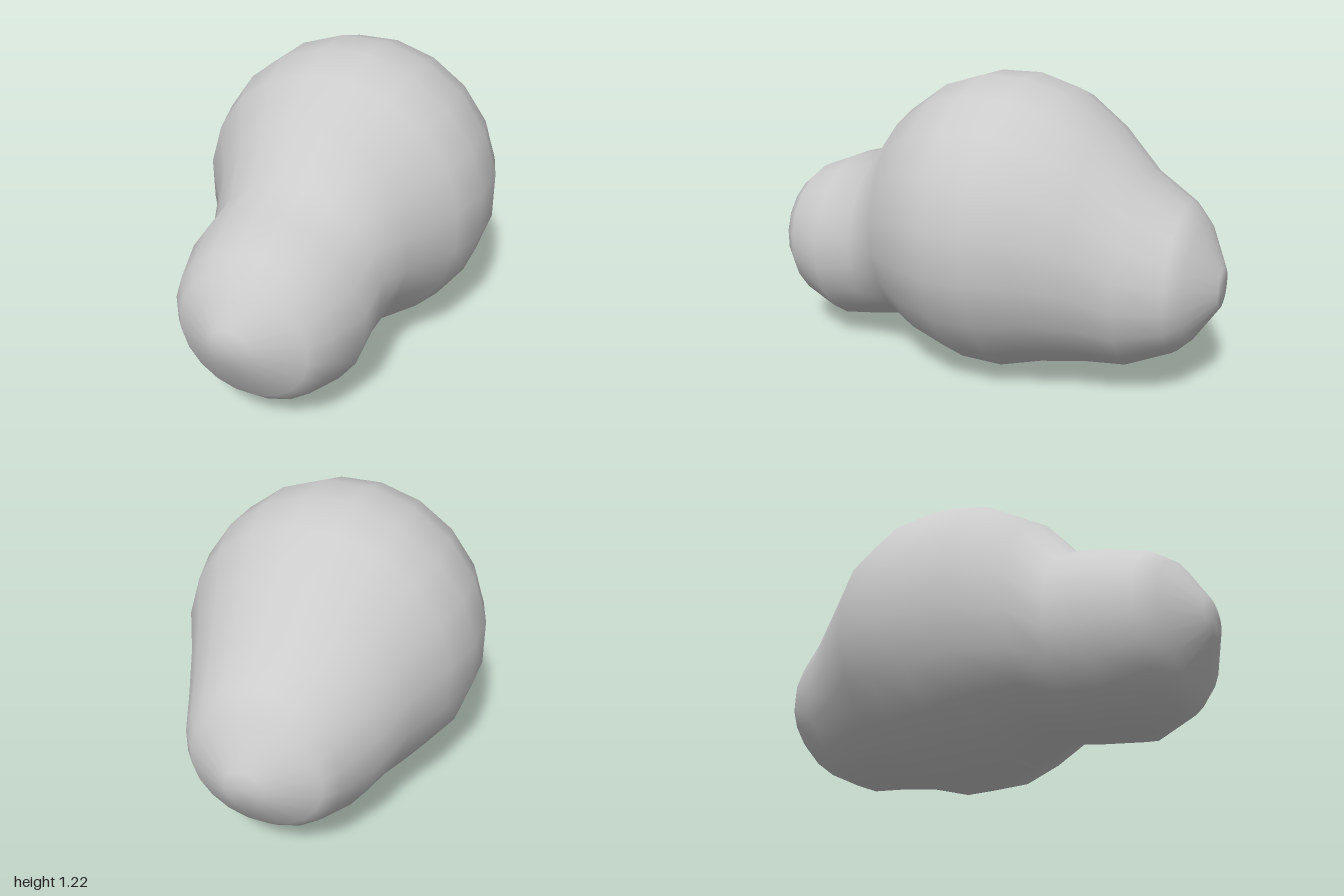
import * as THREE from 'three';

// Cross-sections from front to back: z, bottom, top, half width
const SECTIONS = [
  [1.0, 0.37, 0.53, 0.08],
  [0.91, 0.19, 0.69, 0.26],
  [0.84, 0.12, 0.745, 0.32],
  [0.67, 0.055, 0.81, 0.378],
  [0.5, 0.08, 0.855, 0.372],
  [0.35, 0.11, 1.05, 0.42],
  [0.17, 0.05, 1.17, 0.555],
  [0.0, 0.0, 1.22, 0.605],
  [-0.18, 0.0, 1.22, 0.605],
  [-0.35, 0.05, 1.17, 0.555],
  [-0.52, 0.075, 1.05, 0.46],
  [-0.68, 0.09, 0.88, 0.39],
  [-0.85, 0.17, 0.77, 0.31],
  [-0.91, 0.23, 0.7, 0.26],
  [-1.0, 0.37, 0.53, 0.08],
];

// Skin a row of elliptical rings and close both ends with a fan
function loft(sections, sides) {
  const positions = [];
  const index = [];
  const stretch = 1 / Math.cos(Math.PI / sides);
  for (const [z, bottom, top, halfWidth] of sections) {
    for (let j = 0; j < sides; j++) {
      const a = ((j + 0.5) / sides) * Math.PI * 2;
      positions.push(
        Math.cos(a) * halfWidth * stretch,
        (bottom + top) / 2 + (Math.sin(a) * stretch * (top - bottom)) / 2,
        z
      );
    }
  }
  for (let i = 0; i < sections.length - 1; i++) {
    for (let j = 0; j < sides; j++) {
      const k = (j + 1) % sides;
      const a = i * sides + j, b = i * sides + k;
      const c = a + sides, d = b + sides;
      index.push(a, c, b, b, c, d);
    }
  }
  const front = positions.length / 3;
  const back = front + 1;
  const lastRing = (sections.length - 1) * sides;
  for (const [z, bottom, top] of [sections[0], sections[sections.length - 1]]) {
    positions.push(0, (bottom + top) / 2, z);
  }
  for (let j = 0; j < sides; j++) {
    const k = (j + 1) % sides;
    index.push(front, j, k, back, lastRing + k, lastRing + j);
  }
  const geometry = new THREE.BufferGeometry();
  geometry.setAttribute('position', new THREE.Float32BufferAttribute(positions, 3));
  geometry.setIndex(index);
  geometry.computeVertexNormals();
  return geometry;
}

export function createModel() {
  const group = new THREE.Group();
  group.name = 'blob';

  // Large middle ball merging into a smaller lobe at each end
  const body = new THREE.Mesh(
    loft(SECTIONS, 20),
    new THREE.MeshStandardMaterial({ color: 0xcccccc })
  );
  body.name = 'blobBody';
  group.add(body);
  return group;
}
